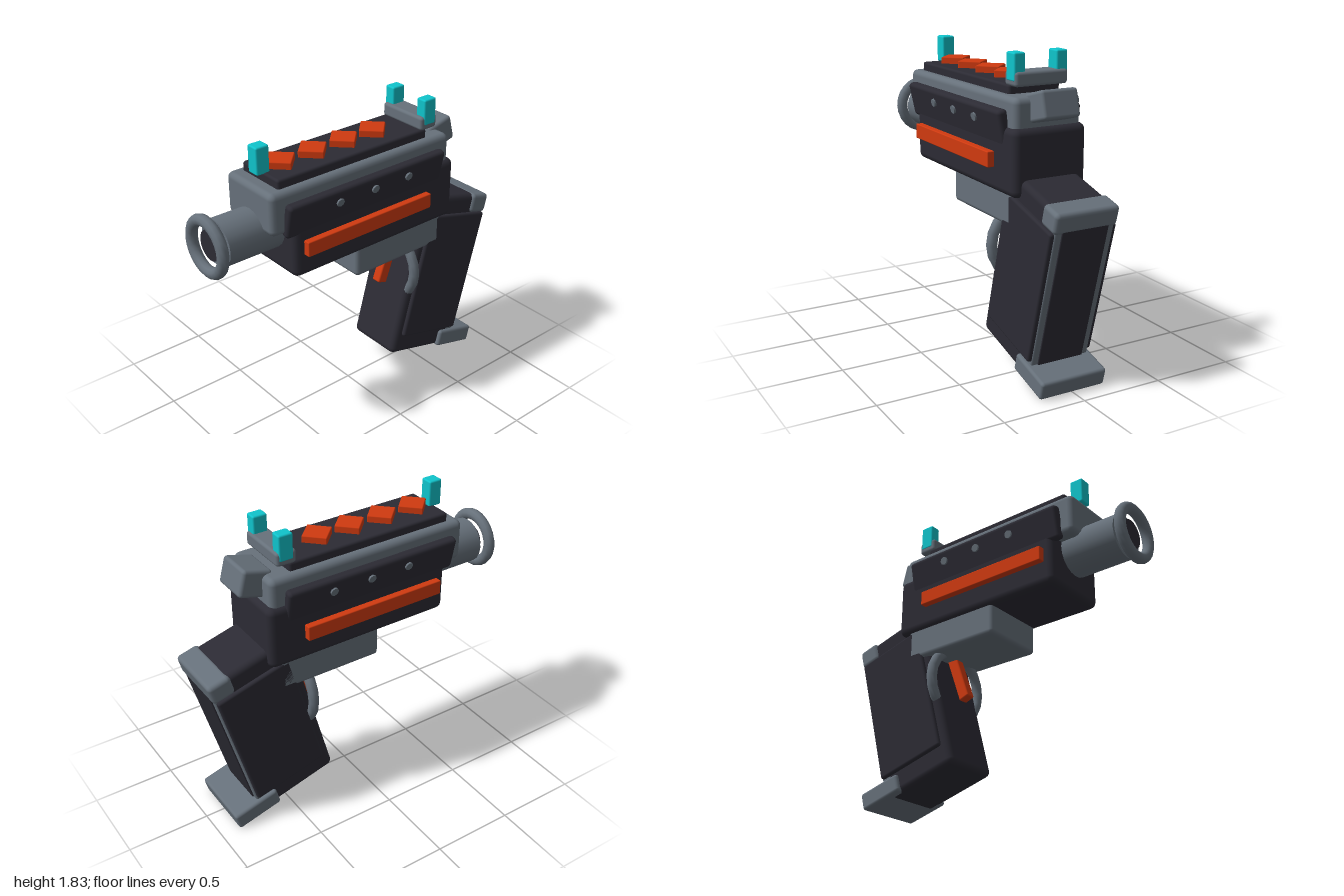
import * as THREE from 'three';
import { RoundedBoxGeometry } from 'three/addons/geometries/RoundedBoxGeometry.js';

const material = (name, color) => {
  const m = new THREE.MeshStandardMaterial({ color });
  m.name = name;
  return m;
};

export function createModel() {
  const model = new THREE.Group();
  model.name = 'toyBlaster';
  const dark = material('charcoal', 0x2c2b34);
  const grey = material('slateGrey', 0x67717b);
  const orange = material('orange', 0xd03a10);
  const cyan = material('cyan', 0x10c4cc);

  const add = (parent, name, geometry, mat, x = 0, y = 0, z = 0) => {
    const mesh = new THREE.Mesh(geometry, mat);
    mesh.name = name;
    mesh.position.set(x, y, z);
    parent.add(mesh);
    return mesh;
  };
  // Soft-edged block given by its extents along each axis
  const block = (parent, name, mat, [x0, x1], [y0, y1], [z0, z1], r = 0.02) =>
    add(parent, name, new RoundedBoxGeometry(x1 - x0, y1 - y0, z1 - z0, 2, r), mat,
      (x0 + x1) / 2, (y0 + y1) / 2, (z0 + z1) / 2);
  const sym = (w) => [-w, w];

  // Main body
  block(model, 'lowerBody', dark, sym(0.23), [1.07, 1.45], [-0.63, 0.56], 0.04);
  block(model, 'upperSlide', grey, sym(0.208), [1.36, 1.61], [-0.6, 0.69], 0.035);
  block(model, 'topRail', dark, sym(0.162), [1.58, 1.662], [-0.455, 0.61], 0.015);
  block(model, 'triggerBlock', grey, sym(0.208), [0.895, 1.1], [-0.56, 0.105], 0.025);

  // Hammer at the back of the slide
  const hammer = block(model, 'hammer', grey, sym(0.115), [1.485, 1.645], [-0.725, -0.545], 0.02);
  hammer.rotation.x = THREE.MathUtils.degToRad(15);

  // Diamond studs along the rail
  for (const z of [-0.18, 0.035, 0.255, 0.475]) {
    const stud = add(model, 'railStud', new RoundedBoxGeometry(0.143, 0.06, 0.143, 1, 0.006), orange, 0, 1.672, z);
    stud.rotation.y = Math.PI / 4;
  }

  // Sights
  block(model, 'frontSight', cyan, sym(0.04), [1.655, 1.815], [0.57, 0.655], 0.01);
  block(model, 'rearSightBase', grey, sym(0.165), [1.655, 1.737], [-0.532, -0.41], 0.018);

  for (const s of [-1, 1]) {
    add(model, 'rearSightPost', new RoundedBoxGeometry(0.07, 0.155, 0.088, 2, 0.01), cyan, s * 0.133, 1.762, -0.475);

    // Leaning side plate with its rivets
    const side = new THREE.Group();
    side.name = 'sidePlate';
    side.position.set(s * 0.218, 1.44, 0.045);
    side.rotation.z = -s * THREE.MathUtils.degToRad(12);
    model.add(side);
    add(side, 'plate', new RoundedBoxGeometry(0.06, 0.207, 1.13, 2, 0.022), dark);
    for (const z of [-0.28, -0.03, 0.223]) {
      const rivet = add(side, 'rivet', new THREE.CylinderGeometry(0.025, 0.025, 0.03, 8), grey, s * 0.026, 0.03, z);
      rivet.rotation.z = Math.PI / 2;
    }

    add(model, 'sideStripe', new RoundedBoxGeometry(0.06, 0.09, 0.91, 2, 0.006), orange, s * 0.24, 1.253, 0.045);
  }

  // Barrel and muzzle ring
  const tube = (name, mat, r, z0, z1) => {
    const mesh = add(model, name, new THREE.CylinderGeometry(r, r, z1 - z0, 20), mat, 0, 1.33, (z0 + z1) / 2);
    mesh.rotation.x = Math.PI / 2;
  };
  tube('barrel', grey, 0.137, 0.5, 0.91);
  tube('muzzleCore', dark, 0.09, 0.85, 0.95);
  add(model, 'muzzleRing', new THREE.TorusGeometry(0.151, 0.034, 10, 24), grey, 0, 1.33, 0.966);

  // Trigger and its ring guard
  add(model, 'triggerGuard', new THREE.TorusGeometry(0.212, 0.032, 10, 20), grey, 0, 0.74, -0.353);
  const trigger = add(model, 'trigger', new RoundedBoxGeometry(0.062, 0.33, 0.07, 2, 0.01), orange, 0, 0.785, -0.312);
  trigger.rotation.x = THREE.MathUtils.degToRad(-20);

  // Raked grip, built upright in its own frame
  const grip = new THREE.Group();
  grip.name = 'grip';
  grip.position.set(0, 0.6, -0.6);
  grip.rotation.x = THREE.MathUtils.degToRad(-15);
  model.add(grip);
  block(grip, 'gripCore', dark, sym(0.185), [-0.505, 0.56], [-0.235, 0.274], 0.035);
  block(grip, 'gripBackFrame', grey, sym(0.185), [-0.42, 0.5], [-0.258, -0.18], 0.012);
  block(grip, 'gripBackPanel', dark, sym(0.145), [-0.4, 0.46], [-0.266, -0.2], 0.006);
  block(grip, 'gripTopCap', grey, sym(0.198), [0.44, 0.563], [-0.268, -0.125], 0.025);
  block(grip, 'gripHeel', grey, sym(0.21), [-0.503, -0.394], [-0.425, -0.13], 0.018);
  for (const s of [-1, 1]) {
    add(grip, 'gripSidePanel', new RoundedBoxGeometry(0.06, 0.82, 0.474, 2, 0.015), dark, s * 0.178, 0.034, -0.014);
  }

  return model;
}
